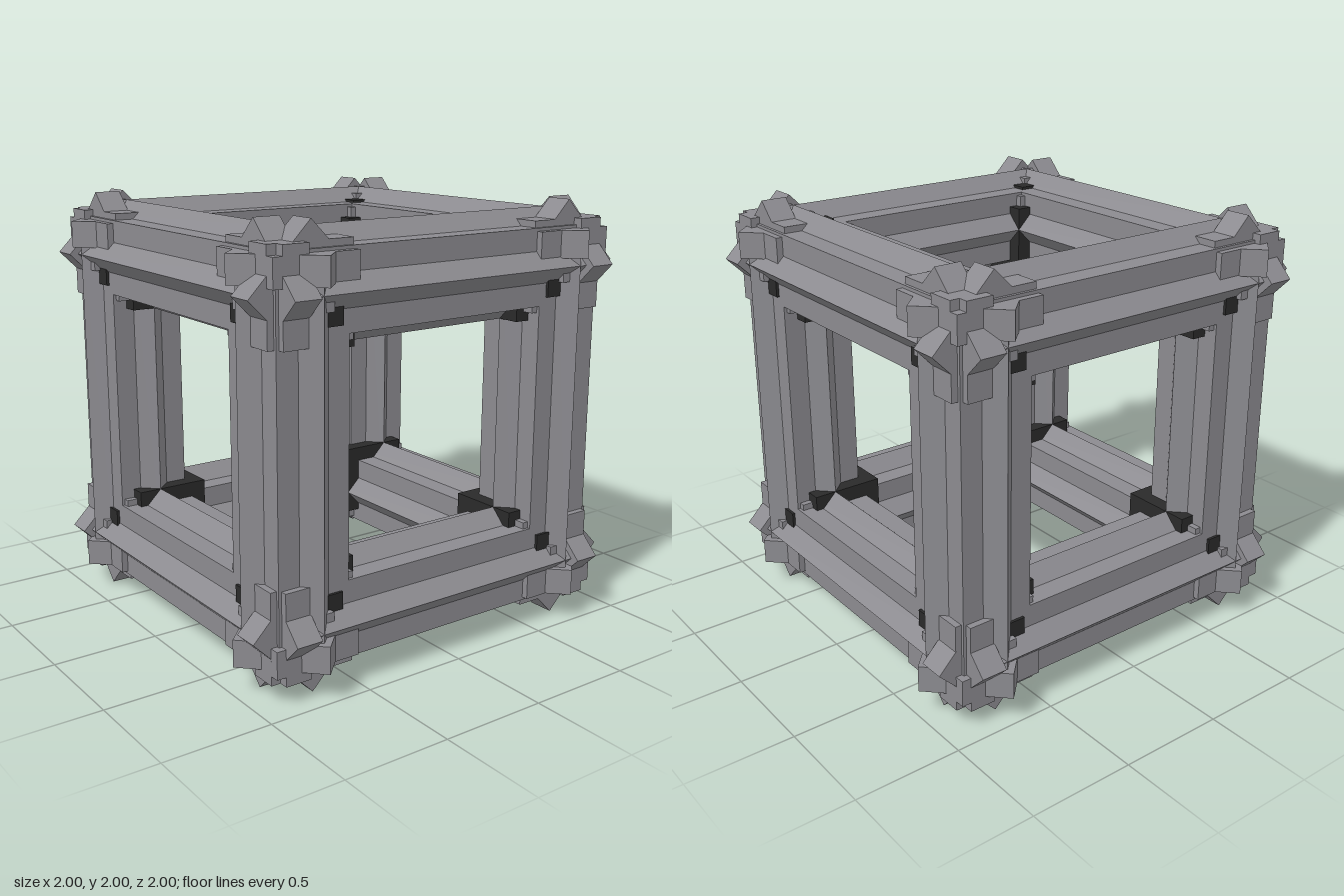
import * as THREE from 'three';

const C = Math.SQRT1_2; // beam axes and joint centres sit this far from the middle

// Eight-pointed star prism along z, centred on the origin
function starPrism(radius, length) {
  const points = [];
  for (let i = 0; i < 16; i++) {
    const r = i % 2 ? radius * 0.7654 : radius;
    const a = i * Math.PI / 8;
    points.push(new THREE.Vector2(r * Math.cos(a), r * Math.sin(a)));
  }
  const geo = new THREE.ExtrudeGeometry(new THREE.Shape(points), { depth: length, bevelEnabled: false });
  return geo.translate(0, 0, -length / 2);
}

export function createModel() {
  const root = new THREE.Group();
  root.name = 'cubeFrame';
  const frame = new THREE.Group();
  frame.position.y = 1;
  root.add(frame);

  const grey = new THREE.MeshStandardMaterial({ color: 0x8c8b90 });
  grey.name = 'stoneGrey';
  const dark = new THREE.MeshStandardMaterial({ color: 0x2a2a2a });
  dark.name = 'darkJoint';

  const beamGeo = starPrism(0.25, 1.6);
  const collarGeo = starPrism(1 - C, 0.125);

  function addStar(parent, geo, name, axis, position) {
    const mesh = new THREE.Mesh(geo, grey);
    mesh.name = name;
    if (axis === 0) mesh.rotation.y = Math.PI / 2;
    if (axis === 1) mesh.rotation.x = Math.PI / 2;
    mesh.position.fromArray(position);
    parent.add(mesh);
  }

  // Block with its long axis given; reaches `inward` towards the middle on the
  // other two axes and `out` / `deep` along its own axis
  function addBlock(parent, name, material, signs, axis, inward, out, deep) {
    const size = [inward, inward, inward];
    const pos = signs.map((s) => s * (C - inward / 2));
    size[axis] = out + deep;
    pos[axis] = signs[axis] * (C + (out - deep) / 2);
    const mesh = new THREE.Mesh(new THREE.BoxGeometry(...size), material);
    mesh.name = name;
    mesh.position.fromArray(pos);
    parent.add(mesh);
  }

  // Twelve beams, four along each axis
  for (let axis = 0; axis < 3; axis++) {
    for (const a of [-C, C]) {
      for (const b of [-C, C]) {
        const position = [0, 0, 0];
        position[(axis + 1) % 3] = a;
        position[(axis + 2) % 3] = b;
        addStar(frame, beamGeo, 'beam', axis, position);
      }
    }
  }

  // Eight corner joints with star collars outside and dark blocks in the grooves
  for (const x of [-1, 1]) {
    for (const y of [-1, 1]) {
      for (const z of [-1, 1]) {
        const signs = [x, y, z];
        const corner = new THREE.Group();
        corner.name = 'cornerJoint';
        for (let axis = 0; axis < 3; axis++) {
          const position = signs.map((s) => s * C);
          position[axis] += signs[axis] * 0.1;
          addStar(corner, collarGeo, 'collar', axis, position);
          addBlock(corner, 'innerBlock', dark, signs, axis, 0.25, 0.11, 0.25);
          addBlock(corner, 'grooveBlock', dark, signs, axis, 0.138, 0.19, 0.1);
          addBlock(corner, 'grooveStud', grey, signs, axis, 0.073, 0.218, 0.1);
        }
        frame.add(corner);
      }
    }
  }
  return root;
}
